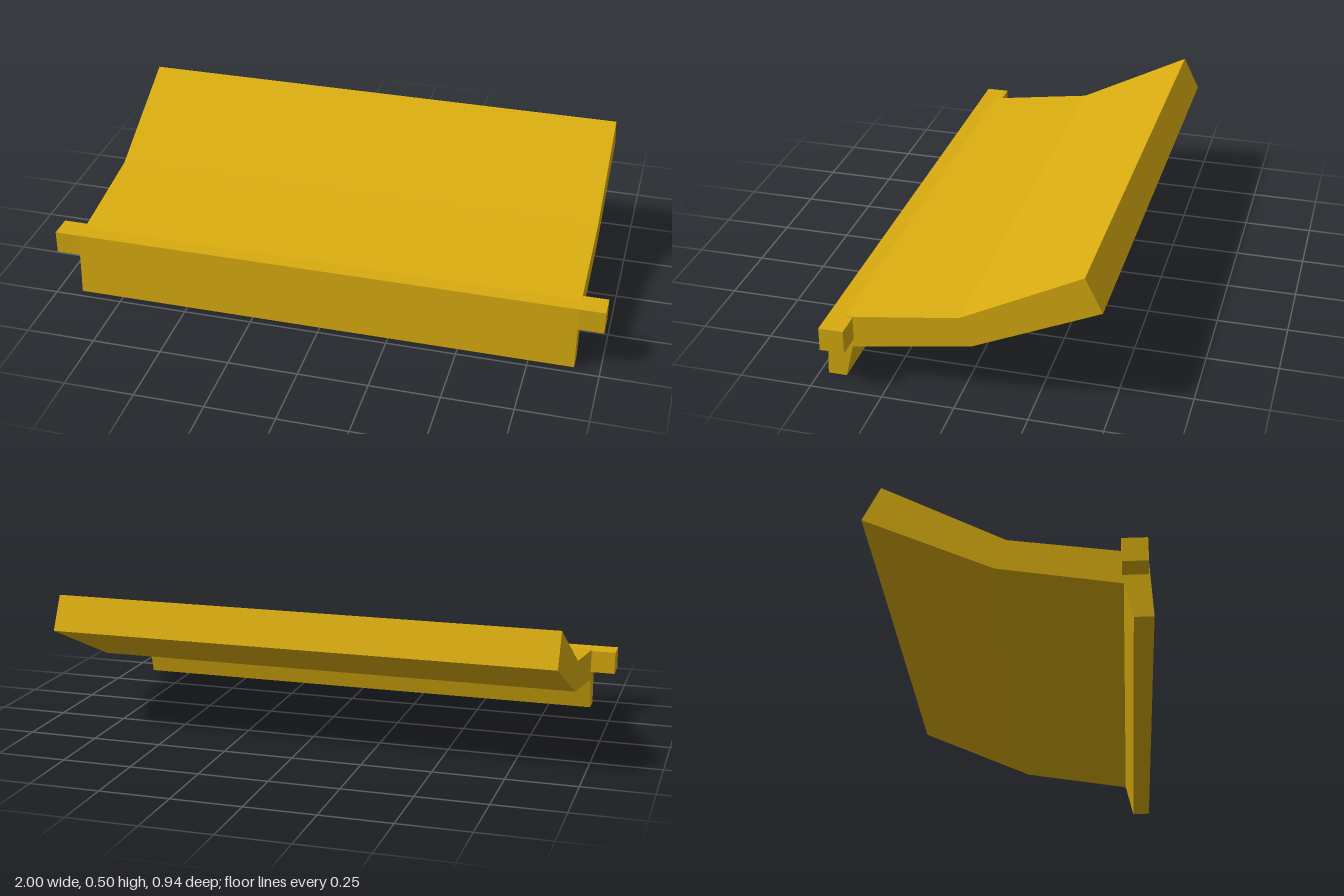
import * as THREE from 'three';

export function createModel() {
  const model = new THREE.Group();
  const yellow = new THREE.MeshStandardMaterial({ color: 0xd8ab10 });
  const halfWidth = 0.91;

  // Bent plate with a front lip: side profile as [z, y], extruded across x
  const profile = [
    [0.47, 0], [0.457, 0.233], [0.4, 0.233], [0.005, 0.29], [-0.41, 0.502],
    [-0.47, 0.382], [-0.033, 0.187], [0.377, 0.12], [0.405, 0],
  ];
  const shape = new THREE.Shape(profile.map(([z, y]) => new THREE.Vector2(-z, y)));
  const plateGeometry = new THREE.ExtrudeGeometry(shape, { depth: 2 * halfWidth, bevelEnabled: false });
  plateGeometry.translate(0, 0, -halfWidth).rotateY(Math.PI / 2);
  const plate = new THREE.Mesh(plateGeometry, yellow);
  plate.name = 'bentPlate';
  model.add(plate);

  // Square hinge pegs at both ends of the front edge
  const pegLength = 1 - halfWidth;
  for (const side of [-1, 1]) {
    const peg = new THREE.Mesh(new THREE.BoxGeometry(pegLength, 0.083, 0.085), yellow);
    peg.name = side > 0 ? 'leftPeg' : 'rightPeg';
    peg.position.set(side * (halfWidth + pegLength / 2), 0.1915, 0.4145);
    model.add(peg);
  }
  return model;
}
